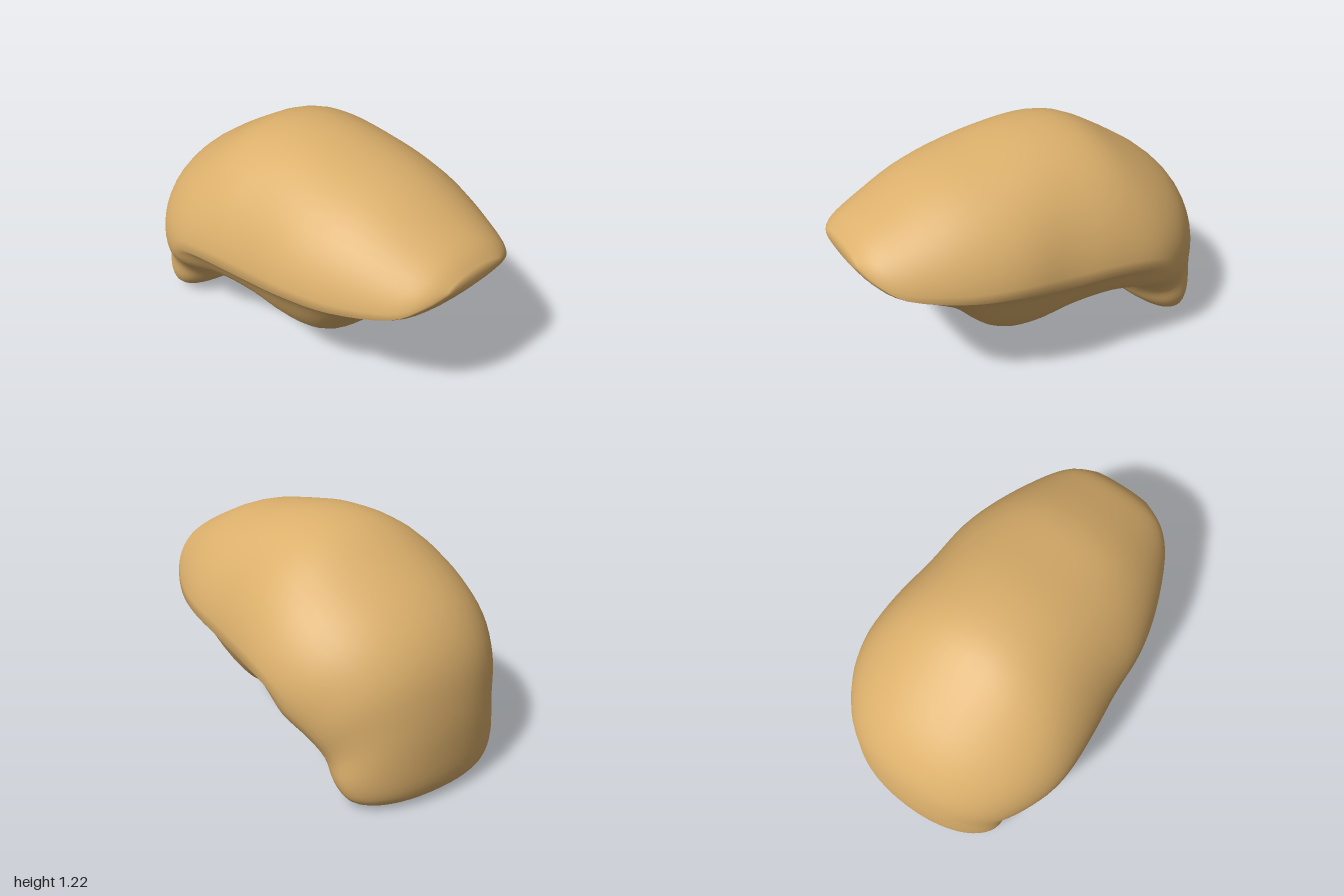
import * as THREE from 'three';

// Cross-sections fanned from the front brim to the hanging rear flap:
// top z,y | side edge z,y,halfWidth | underside z,y | pull of the undercut below the edge: in, down
const SECTIONS = [
  [1.0, 0.86, 1.0, 0.83, 0.17, 1.0, 0.80, 1, 0.5],
  [0.93, 0.93, 0.95, 0.78, 0.30, 0.95, 0.73, 1, 0.4],
  [0.80, 1.00, 0.84, 0.71, 0.41, 0.85, 0.65, 0.9, 0.3],
  [0.55, 1.11, 0.58, 0.665, 0.53, 0.58, 0.47, 0.8, 0.25],
  [0.30, 1.17, 0.33, 0.65, 0.595, 0.36, 0.235, 0.75, 0.25],
  [0.00, 1.22, 0.08, 0.62, 0.61, 0.18, 0.17, 0.75, 0.25],
  [-0.28, 1.20, -0.18, 0.61, 0.64, 0.00, 0.22, 0.75, 0.25],
  [-0.52, 1.08, -0.40, 0.58, 0.65, -0.20, 0.28, 0.85, 0.35],
  [-0.78, 0.90, -0.55, 0.50, 0.62, -0.38, 0.285, 1, 0.45],
  [-0.93, 0.70, -0.68, 0.38, 0.55, -0.48, 0.24, 1, 0.55],
  [-0.99, 0.45, -0.74, 0.26, 0.49, -0.54, 0.17, 1, 0.6],
  [-1.00, 0.20, -0.78, 0.14, 0.475, -0.59, 0.10, 1, 0.6],
  [-0.98, 0.06, -0.80, 0.05, 0.43, -0.65, 0.05, 1, 0.6],
  [-0.92, 0.00, -0.82, 0.00, 0.33, -0.72, 0.02, 1, 0.6],
];
const STEPS = 4;      // rings between two sections
const QUARTER = 12;   // points in a quarter of a ring
const SIDES = QUARTER * 4;

// Smooth interpolation of one section row
function sectionAt(t) {
  const last = SECTIONS.length - 1;
  const i = Math.min(Math.floor(t), last - 1), f = t - i;
  const row = (k) => SECTIONS[Math.max(0, Math.min(last, k))];
  const [a, b, c, d] = [row(i - 1), row(i), row(i + 1), row(i + 2)];
  return b.map((v, k) => {
    const m0 = (c[k] - a[k]) / 2, m1 = (d[k] - v) / 2;
    const f2 = f * f, f3 = f2 * f;
    return (2 * f3 - 3 * f2 + 1) * v + (f3 - 2 * f2 + f) * m0 + (3 * f2 - 2 * f3) * c[k] + (f3 - f2) * m1;
  });
}

const bezier = (u, a, b, c, d) => {
  const v = 1 - u;
  return v * v * v * a + 3 * v * v * u * b + 3 * v * u * u * c + u * u * u * d;
};

// Broad arch above the side edge, tucked-in full belly below it
function ringPoint([tz, ty, ez, ey, w, bz, by, pullIn, pullDown], j) {
  const side = j <= SIDES / 2 ? 1 : -1;
  const m = side > 0 ? j : SIDES - j;
  const upper = m < QUARTER;
  const u = Math.abs(QUARTER - m) / QUARTER;   // 0 at the side edge, 1 at the centre line
  const x = upper ? bezier(u, 1, 1, 0.68, 0) : bezier(u, 1, pullIn, 0.78, 0);
  const k = upper ? bezier(u, 0, 0.38, 1, 1) : bezier(u, 0, pullDown, 1, 1);
  const z = ez + ((upper ? tz : bz) - ez) * k;
  const y = ey + ((upper ? ty : by) - ey) * k;
  return [side * w * x, Math.max(0, y), Math.max(-1, Math.min(1, z))];
}

function shellGeometry() {
  const positions = [], indices = [];
  const rings = (SECTIONS.length - 1) * STEPS + 1;
  for (let i = 0; i < rings; i++) {
    const row = sectionAt(i / STEPS);
    for (let j = 0; j < SIDES; j++) positions.push(...ringPoint(row, j));
  }
  for (let i = 0; i < rings - 1; i++) {
    for (let j = 0; j < SIDES; j++) {
      const n = (j + 1) % SIDES;
      const a = i * SIDES + j, b = i * SIDES + n, c = a + SIDES, d = b + SIDES;
      indices.push(a, b, c, b, d, c);
    }
  }
  // Close the brim tip and the flap's lower end
  const front = rings * SIDES, back = front + 1, lastRing = (rings - 1) * SIDES;
  positions.push(0, 0.83, 1, 0, 0.012, -0.82);
  for (let j = 0; j < SIDES; j++) {
    const n = (j + 1) % SIDES;
    indices.push(front, n, j, back, lastRing + j, lastRing + n);
  }
  const geometry = new THREE.BufferGeometry();
  geometry.setAttribute('position', new THREE.Float32BufferAttribute(positions, 3));
  geometry.setIndex(indices);
  geometry.computeVertexNormals();
  return geometry;
}

export function createModel() {
  const group = new THREE.Group();
  group.name = 'curvedShell';
  const tan = new THREE.MeshStandardMaterial({ color: 0xdcb06c });
  tan.name = 'warmTan';
  const shell = new THREE.Mesh(shellGeometry(), tan);
  shell.name = 'shell';
  group.add(shell);
  return group;
}
